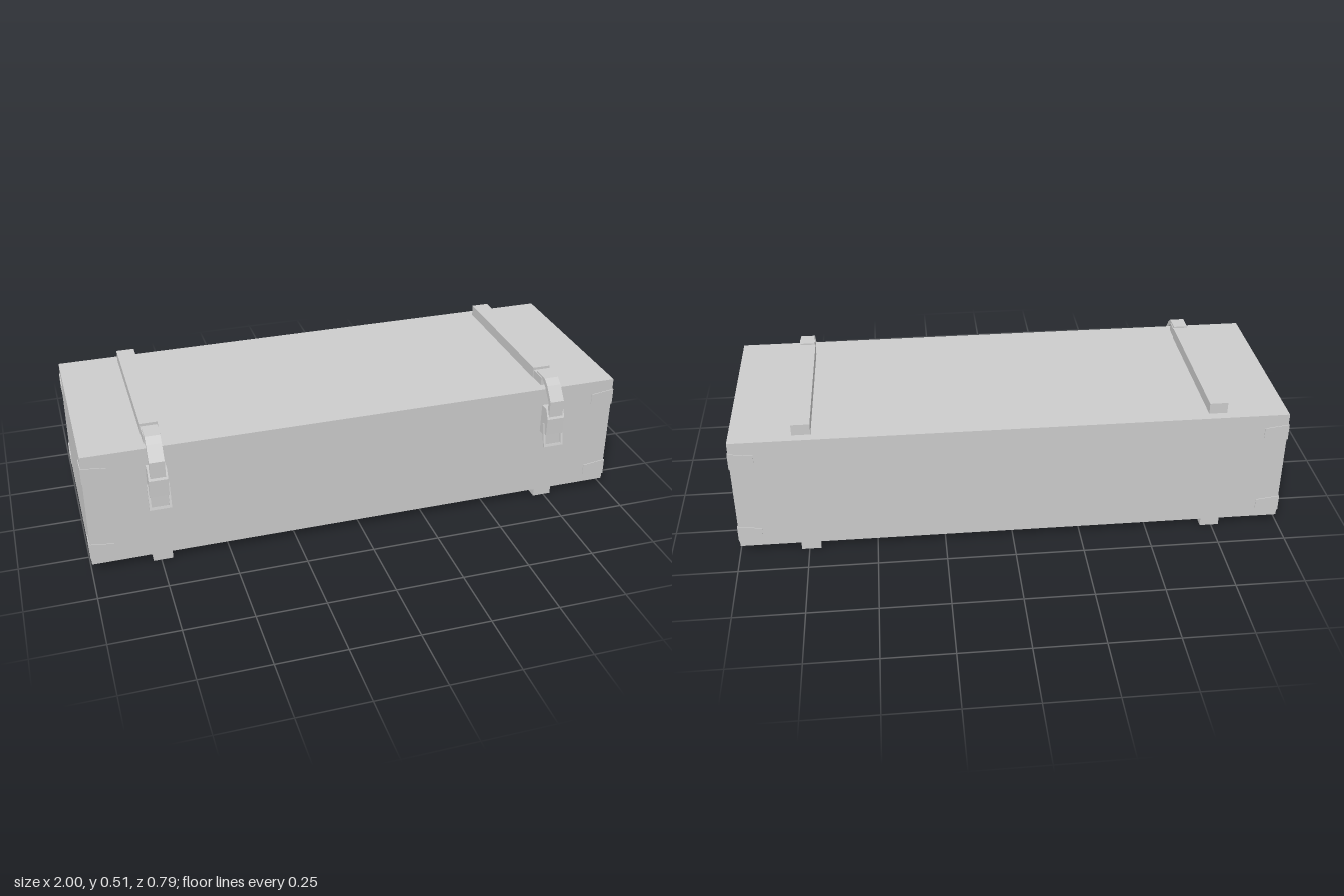
import * as THREE from 'three';

const mat = new THREE.MeshStandardMaterial({ color: 0xcccccc, flatShading: true });

function add(parent, name, geometry) {
  const mesh = new THREE.Mesh(geometry, mat);
  mesh.name = name;
  parent.add(mesh);
  return mesh;
}

// Box given by its limits on each axis
function block(x0, x1, y0, y1, z0, z1) {
  return new THREE.BoxGeometry(x1 - x0, y1 - y0, z1 - z0)
    .translate((x0 + x1) / 2, (y0 + y1) / 2, (z0 + z1) / 2);
}

function shapeOf(points) {
  return new THREE.Shape(points.map(([a, b]) => new THREE.Vector2(a, b)));
}

// Side profile of [z, y] points, extruded along x and centred on x = 0
function sideProfile(points, width) {
  return new THREE.ExtrudeGeometry(shapeOf(points), { depth: width, bevelEnabled: false })
    .translate(0, 0, -width / 2)
    .rotateY(-Math.PI / 2)
    .scale(1, 1, 1);
}

// Tapered plate: wide at the corner (a = 0), narrow at the tip, pointing along +x
function bracketPlate() {
  const points = [[0, -0.031], [0.088, -0.02], [0.088, 0.02], [0, 0.031]];
  return new THREE.ExtrudeGeometry(shapeOf(points), { depth: 0.004, bevelEnabled: false });
}

function createLatch() {
  const latch = new THREE.Group();
  latch.name = 'latch';

  // Bent strap coming over the lid edge
  add(latch, 'strap', sideProfile([
    [0.26, 0.5], [0.26, 0.507], [0.325, 0.507], [0.351, 0.488], [0.389, 0.438], [0.389, 0.365],
    [0.374, 0.365], [0.374, 0.43], [0.338, 0.476], [0.305, 0.5],
  ], 0.054));
  add(latch, 'strapBase', block(-0.03, 0.03, 0.465, 0.501, 0.238, 0.305));

  // Catch housing on the front wall
  add(latch, 'catch', sideProfile([
    [0.338, 0.292], [0.364, 0.292], [0.392, 0.302], [0.393, 0.368], [0.375, 0.404], [0.338, 0.404],
  ], 0.068));

  // Open pull loop hanging in front
  const loop = shapeOf([[-0.039, 0], [0.039, 0], [0.039, 0.093], [-0.039, 0.093]]);
  loop.holes.push(new THREE.Path(
    [[-0.031, 0.008], [-0.031, 0.085], [0.031, 0.085], [0.031, 0.008]]
      .map(([a, b]) => new THREE.Vector2(a, b))));
  const pull = add(latch, 'pullLoop',
    new THREE.ExtrudeGeometry(loop, { depth: 0.008, bevelEnabled: false }));
  pull.position.set(0, 0.25, 0.387);
  pull.rotation.x = -0.25;
  return latch;
}

export function createModel() {
  const model = new THREE.Group();
  model.name = 'crate';
  const X = 0.997, BACK = -0.39, FRONT = 0.34;

  add(model, 'body', block(-X, X, 0.03, 0.47, BACK, FRONT));

  // Lid battens, bottom runners and latches near each end
  for (const x of [-0.743, 0.743]) {
    add(model, 'lidBatten', block(x - 0.033, x + 0.033, 0.465, 0.511, -0.355, 0.24));
    add(model, 'runner', block(x - 0.035, x + 0.035, 0, 0.035, BACK, FRONT));
    const latch = createLatch();
    latch.position.x = x;
    model.add(latch);
  }

  // Corner brackets: two tapered plates wrapped round each upright edge
  for (const sx of [-1, 1]) {
    for (const sz of [-1, 1]) {
      for (const y of [0.085, 0.397]) {
        const bracket = new THREE.Group();
        bracket.name = 'cornerBracket';
        const z = sz > 0 ? FRONT : BACK;

        const face = add(bracket, 'facePlate', bracketPlate());
        face.rotation.y = sx > 0 ? Math.PI : 0;
        face.position.set(sx, y, z + sz * 0.003 + (sx > 0 ? 1 : -1) * 0.002 - sz * 0.002);

        const end = add(bracket, 'endPlate', bracketPlate());
        end.rotation.y = sz > 0 ? Math.PI / 2 : -Math.PI / 2;
        end.position.set(sx - sx * 0.002 - sz * 0.002, y, z + sz * 0.003);
        model.add(bracket);
      }
    }
  }
  return model;
}
